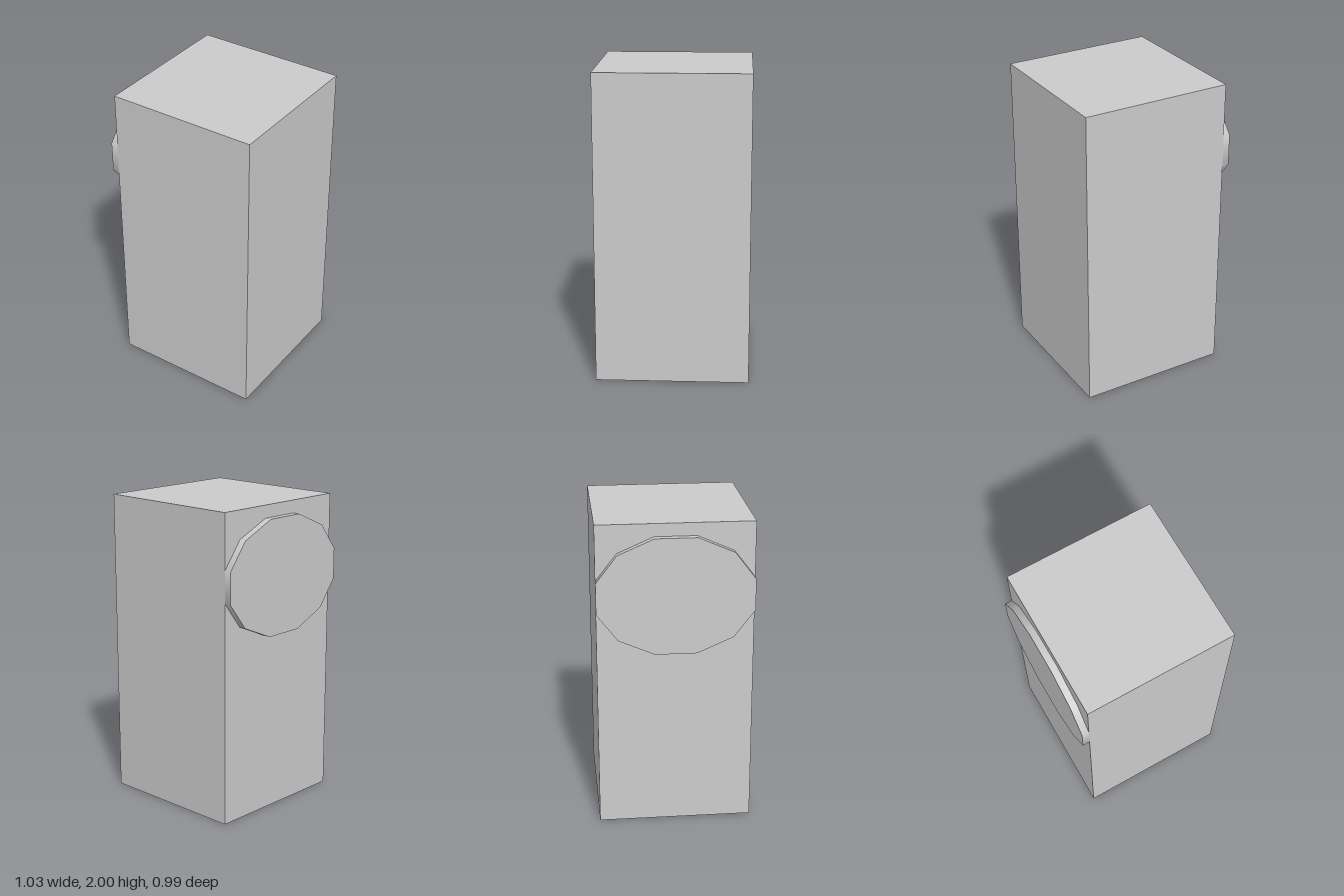
import * as THREE from 'three';

export function createModel() {
  const group = new THREE.Group();
  const material = new THREE.MeshStandardMaterial({ color: 0xcccccc });

  const add = (name, geometry, x, y) => {
    const mesh = new THREE.Mesh(geometry, material);
    mesh.name = name;
    mesh.position.set(x, y, 0);
    group.add(mesh);
  };

  // Tall square block
  const width = 0.986;
  add('body', new THREE.BoxGeometry(width, 2, width), 0.022, 1);

  // Flat twelve-sided oval plate on the -x side, with flats at top, bottom, front and back
  const sides = 12;
  const halfStep = Math.PI / sides;
  const thickness = 0.046;
  const plate = new THREE.CylinderGeometry(1, 1, thickness, sides, 1, false, halfStep);
  plate.scale(0.373 / Math.cos(halfStep), 1, width / 2 / Math.cos(halfStep));
  plate.rotateZ(Math.PI / 2);
  add('sidePlate', plate, -0.494, 1.545);

  return group;
}
